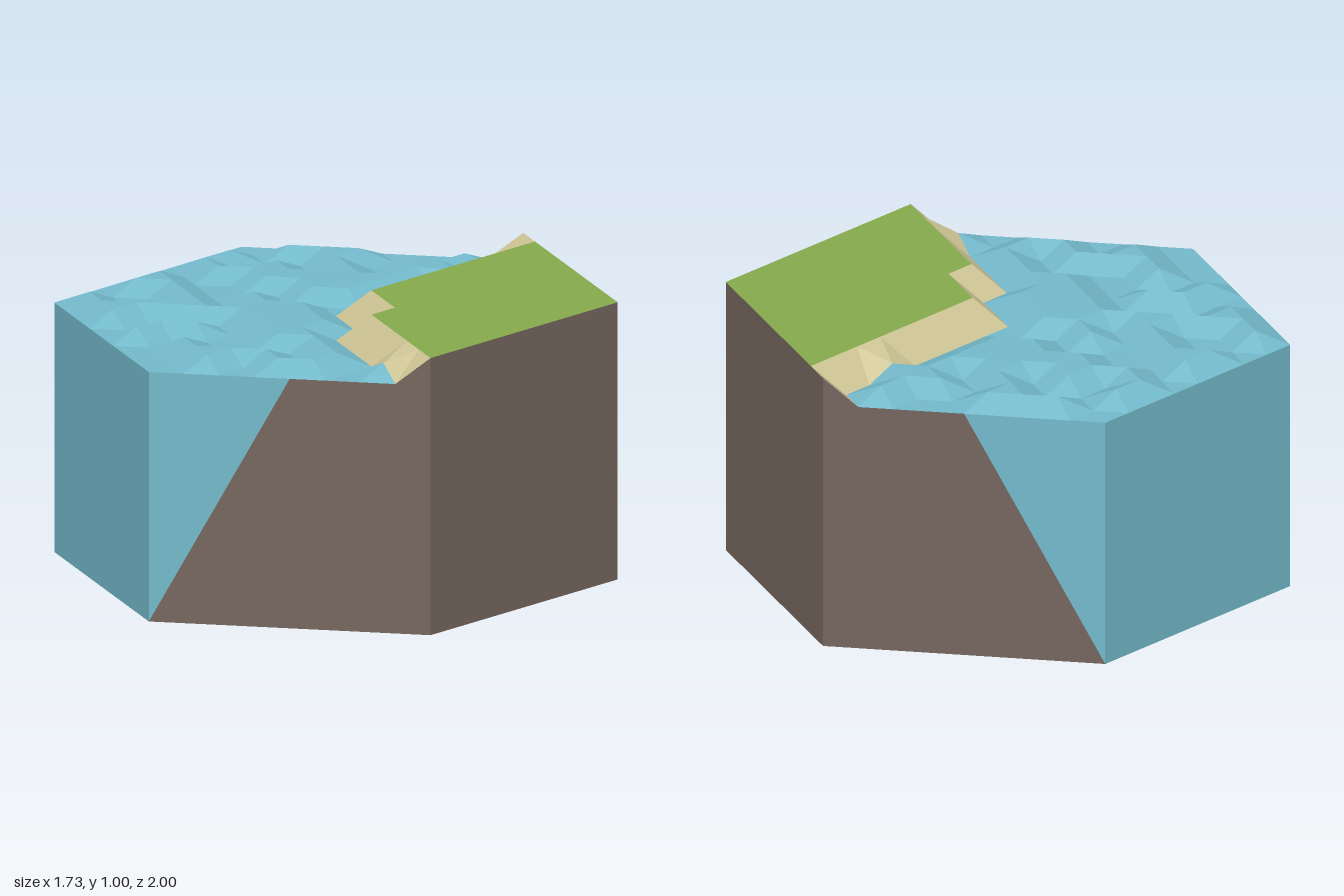
import * as THREE from 'three';

const COLOURS = { water: 0x73b9cb, earth: 0x75665e, grass: 0x86aa4c, sand: 0xd0c797 };

// Surface levels on a triangular grid, one string per column from left to right,
// each read from back to front: 0 wave trough, 1 wave crest, 2 land.
const COLUMNS = [
  '000000000',
  '0011011010',
  '01001010010',
  '010110010110',
  '0110110011000',
  '00011101010110',
  '001011101101000',
  '0111111011100100',
  '20010000011100100',
  '2222222201110110',
  '222222220010100',
  '22222222201010',
  '2222222220110',
  '222222222000',
  '22222222210',
  '2222222220',
  '222222222',
];
const LEVELS = [0.9, 0.945, 1];
const N = 8;
const COLUMN_STEP = Math.sqrt(3) / 2 / N;

export function createModel() {
  const group = new THREE.Group();
  const materials = {};
  for (const [name, color] of Object.entries(COLOURS)) {
    materials[name] = new THREE.MeshStandardMaterial({ color, side: THREE.DoubleSide, flatShading: true });
    materials[name].name = name;
  }

  const addMesh = (name, material, points) => {
    const geometry = new THREE.BufferGeometry().setFromPoints(points);
    geometry.computeVertexNormals();
    const mesh = new THREE.Mesh(geometry, materials[material]);
    mesh.name = name;
    group.add(mesh);
  };

  // Top surface: sort the grid triangles into water, shore and meadow
  const level = (i, k) => Number(COLUMNS[i + N][k]);
  const point = (i, k) =>
    new THREE.Vector3(i * COLUMN_STEP, LEVELS[level(i, k)], -1 + Math.abs(i) / 16 + k / 8);
  const top = { water: [], sand: [], grass: [] };
  for (let i = -N; i <= N; i++) {
    for (let k = 0; k < COLUMNS[i + N].length - 1; k++) {
      for (const side of [-1, 1]) {
        const j = i + side;
        if (Math.abs(j) > N) continue;
        const apex = [j, Math.abs(j) > Math.abs(i) ? k : k + 1];
        const corners = side > 0 ? [[i, k], [i, k + 1], apex] : [[i, k + 1], [i, k], apex];
        const land = corners.filter((c) => level(...c) === 2).length;
        const kind = land === 3 ? 'grass' : land > 0 ? 'sand' : 'water';
        top[kind].push(...corners.map((c) => point(...c)));
      }
    }
  }
  addMesh('waterSurface', 'water', top.water);
  addMesh('sandyShore', 'sand', top.sand);
  addMesh('meadow', 'grass', top.grass);

  // Side walls: outlines in (distance along wall, height), fanned from the first point
  const corner = (n) => [Math.sin((n * Math.PI) / 3), Math.cos((n * Math.PI) / 3)];
  const wall = (name, material, n, outline) => {
    const [x0, z0] = corner(n);
    const [x1, z1] = corner(n + 1);
    const p = outline.map(([t, y]) => new THREE.Vector3(x0 + (x1 - x0) * t, y, z0 + (z1 - z0) * t));
    const points = [];
    for (let k = 1; k < p.length - 1; k++) points.push(p[0], p[k], p[k + 1]);
    addMesh(name, material, points);
  };
  const rectangle = (h) => [[0, 0], [1, 0], [1, h], [0, h]];

  wall('frontLeftEarthWall', 'earth', 0, [[1, 0], [1, 1], [0.875, 0.9], [0.5, 0.9], [0, 0]]);
  wall('frontLeftWaterWall', 'water', 0, [[0, 0], [0.5, 0.9], [0, 0.9]]);
  wall('leftEarthWall', 'earth', 1, rectangle(1));
  wall('backLeftEarthWall', 'earth', 2, rectangle(1));
  wall('backRightEarthWall', 'earth', 3, [[0, 0], [1, 0], [0.5, 0.9], [0.125, 0.9], [0, 1]]);
  wall('backRightWaterWall', 'water', 3, [[1, 0], [1, 0.9], [0.5, 0.9]]);
  wall('rightWaterWall', 'water', 4, rectangle(0.9));
  wall('frontRightWaterWall', 'water', 5, rectangle(0.9));

  return group;
}
